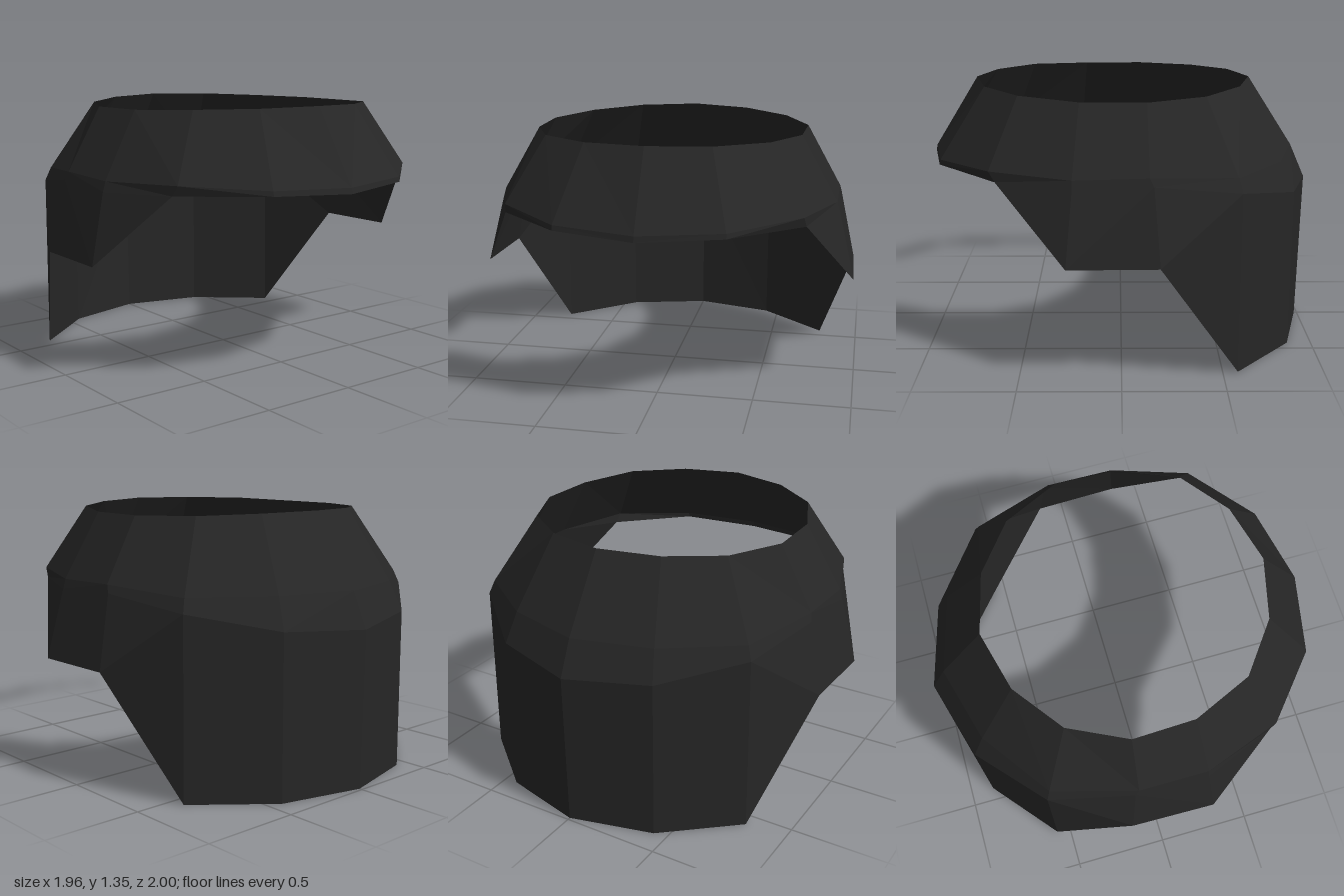
import * as THREE from 'three';

// Half cross-sections, running from the back centre round the left side to the front centre.
const rim = [[0, 1.35, -0.68], [0.31, 1.345, -0.6], [0.56, 1.335, -0.41], [0.7, 1.33, -0.12],
  [0.69, 1.33, 0.2], [0.56, 1.34, 0.5], [0.31, 1.345, 0.69], [0, 1.35, 0.765]];
const brow = [[0, 0.98, -0.92], [0.4, 0.98, -0.81], [0.755, 0.98, -0.555], [0.88, 1.01, -0.13],
  [0.88, 1.0, 0.23], [0.74, 1.01, 0.63], [0.41, 0.99, 0.91], [0, 0.98, 0.995]];
const belt = [[0, 0.8, -1], [0.43, 0.825, -0.875], [0.78, 0.91, -0.575], [0.89, 0.97, -0.15],
  [0.895, 0.95, 0.23], [0.75, 0.96, 0.6], [0.41, 0.965, 0.915], [0, 0.95, 1]];
const hem = [[0, 0, -0.985], [0.43, 0, -0.875], [0.785, 0, -0.575], [0.97, 0.6, -0.18],
  [0.98, 0.6, 0.26], [0.75, 0.96, 0.6]];

// Faceted wall between successive cross-sections, mirrored across x = 0.
function wall(rows) {
  const positions = [];
  const addTriangle = (a, b, c) => {
    const area = new THREE.Triangle(...[a, b, c].map(p => new THREE.Vector3(...p))).getArea();
    if (area < 1e-6) return;
    positions.push(...a, ...b, ...c);
    for (const [x, y, z] of [a, c, b]) positions.push(-x, y, z);
  };
  for (let r = 0; r < rows.length - 1; r++) {
    const upper = rows[r], lower = rows[r + 1];
    for (let i = 0; i < lower.length - 1; i++) {
      addTriangle(lower[i], upper[i], lower[i + 1]);
      addTriangle(upper[i], upper[i + 1], lower[i + 1]);
    }
  }
  const geometry = new THREE.BufferGeometry();
  geometry.setAttribute('position', new THREE.Float32BufferAttribute(positions, 3));
  geometry.computeVertexNormals();
  return geometry;
}

export function createModel() {
  const group = new THREE.Group();
  group.name = 'openHeadband';
  const charcoal = new THREE.MeshStandardMaterial({
    color: 0x262626, side: THREE.DoubleSide, flatShading: true,
  });
  charcoal.name = 'charcoal';
  const add = (name, rows) => {
    const mesh = new THREE.Mesh(wall(rows), charcoal);
    mesh.name = name;
    group.add(mesh);
  };

  // Sloping upper band with an open top and a narrow lip at the front
  add('upperBand', [rim, brow, belt]);
  // Side flaps and the long guard at the back
  add('neckGuard', [belt, hem]);
  return group;
}
